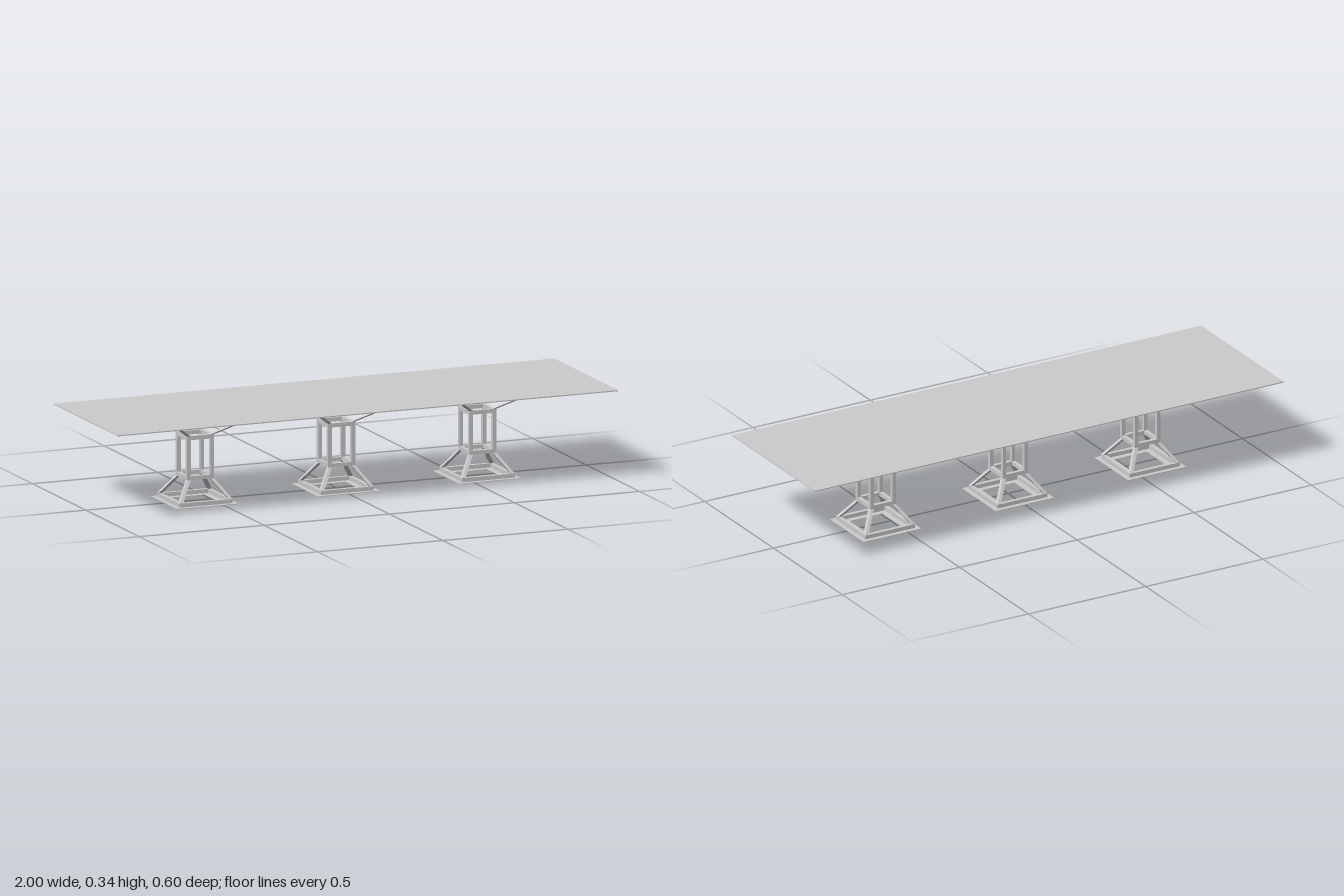
import * as THREE from 'three';

const material = new THREE.MeshStandardMaterial({ color: 0xcccccc, flatShading: true });
const BAR = 0.0145; // width of every square bar

function add(parent, name, geometry) {
  const mesh = new THREE.Mesh(geometry, material);
  mesh.name = name;
  parent.add(mesh);
  return mesh;
}

// Flat square ring: outer half-width, rim width, bottom and top heights
function squareRing(half, rim, y0, y1) {
  const square = (h) => [[-h, -h], [h, -h], [h, h], [-h, h]].map(([x, y]) => new THREE.Vector2(x, y));
  const shape = new THREE.Shape(square(half));
  shape.holes.push(new THREE.Path(square(half - rim).reverse()));
  return new THREE.ExtrudeGeometry(shape, { depth: y1 - y0, bevelEnabled: false })
    .rotateX(-Math.PI / 2)
    .translate(0, y0, 0);
}

// Corner bar with level ends, running from half-width h0 at y0 to h1 at y1
function cornerBar(h0, y0, h1, y1) {
  const geometry = new THREE.BoxGeometry(BAR, 1, BAR);
  const p = geometry.attributes.position;
  for (let i = 0; i < p.count; i++) {
    const top = p.getY(i) > 0;
    const centre = (top ? h1 : h0) - BAR / 2;
    p.setXYZ(i, p.getX(i) + centre, top ? y1 : y0, p.getZ(i) + centre);
  }
  geometry.computeVertexNormals();
  return geometry;
}

function addCorners(parent, name, geometry) {
  for (let i = 0; i < 4; i++) add(parent, name, geometry).rotation.y = (i * Math.PI) / 2;
}

function createPedestal() {
  const pedestal = new THREE.Group();
  pedestal.name = 'pedestal';

  // Foot: thin plate with a square opening, and a bar frame on it
  add(pedestal, 'footPlate', squareRing(0.123, 0.053, 0, 0.002));
  add(pedestal, 'footFrame', squareRing(0.106, BAR, 0.002, 0.017));
  addCorners(pedestal, 'lowerStrut', cornerBar(0.106, 0.017, 0.054, 0.09));

  // Middle cage
  add(pedestal, 'cageBottom', squareRing(0.054, BAR, 0.09, 0.104));
  addCorners(pedestal, 'cagePost', cornerBar(0.054, 0.104, 0.054, 0.24));
  add(pedestal, 'cageTop', squareRing(0.054, BAR, 0.24, 0.255));

  // Head: struts flaring out to a frame and plate beneath the top
  addCorners(pedestal, 'upperStrut', cornerBar(0.054, 0.255, 0.152, 0.32));
  add(pedestal, 'headFrame', squareRing(0.152, BAR, 0.32, 0.335));
  add(pedestal, 'headPlate', squareRing(0.17, 0.053, 0.335, 0.337));
  return pedestal;
}

export function createModel() {
  const table = new THREE.Group();
  table.name = 'table';
  add(table, 'tableTop', new THREE.BoxGeometry(2, 0.004, 0.6).translate(0, 0.339, 0));
  for (const x of [-0.564, 0, 0.564]) {
    const pedestal = createPedestal();
    pedestal.position.x = x;
    table.add(pedestal);
  }
  return table;
}
